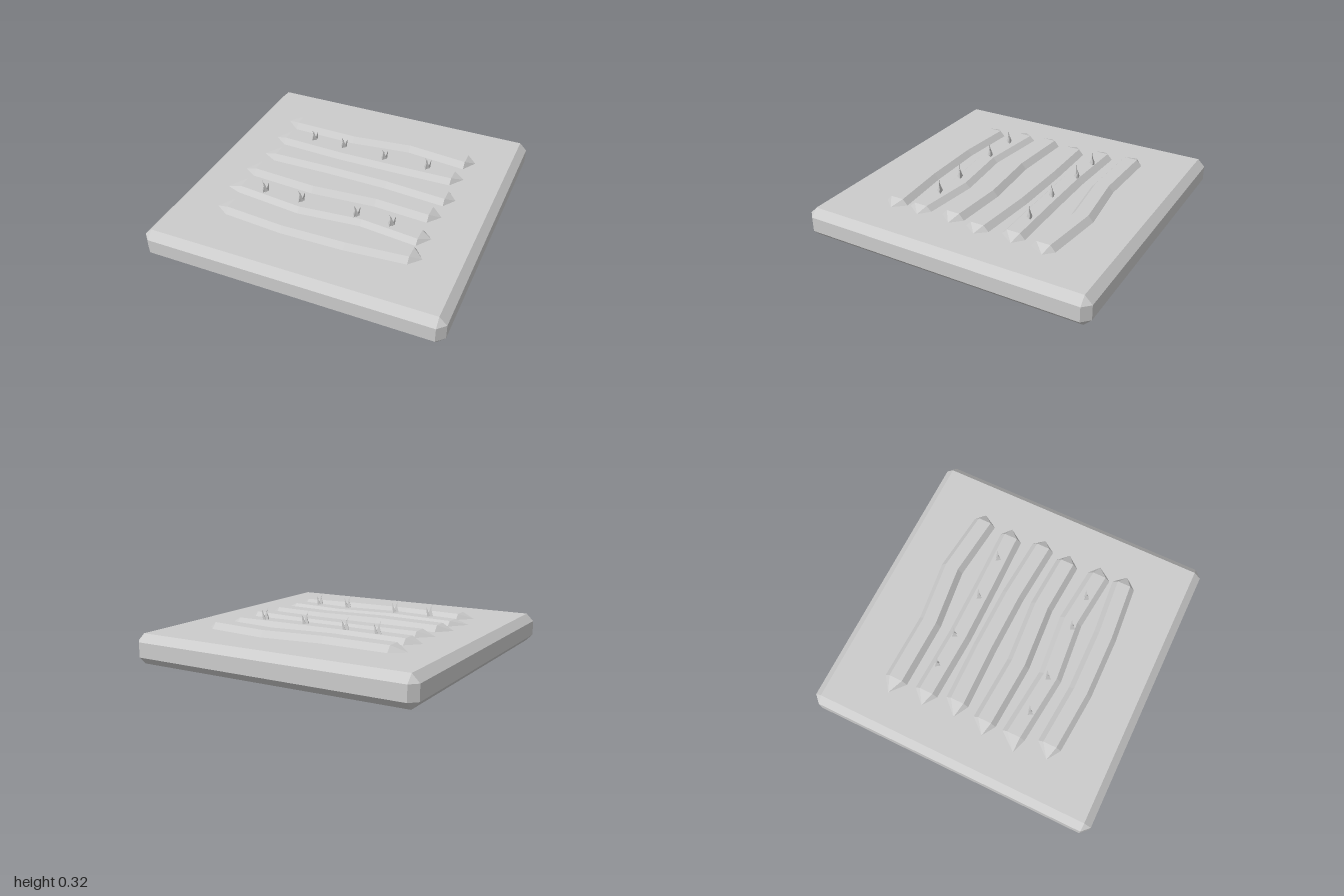
import * as THREE from 'three';
import { ConvexGeometry } from 'three/addons/geometries/ConvexGeometry.js';

const stone = new THREE.MeshStandardMaterial({ color: 0xcccccc });
stone.name = 'pale grey';

const SLAB_TOP = 0.2;

// Box with every edge and corner chamfered
function chamferedBox(w, h, d, c) {
  const points = [];
  for (const sx of [-1, 1]) for (const sy of [-1, 1]) for (const sz of [-1, 1]) {
    for (let axis = 0; axis < 3; axis++) {
      const inset = [c, c, c];
      inset[axis] = 0;
      points.push(new THREE.Vector3(
        sx * (w / 2 - inset[0]), sy * (h / 2 - inset[1]), sz * (d / 2 - inset[2])));
    }
  }
  return new ConvexGeometry(points);
}

// Trapezoid furrow bank swept through four stations, closed to a point at each end
function ridgeGeometry({ xs, zs, tips, height }) {
  const profile = [[-0.08, 0], [-0.045, height], [0.047, height], [0.08, 0]];
  const tipRing = ([x, z]) => profile.map(() => [x, SLAB_TOP, z]);
  const rings = [
    tipRing(tips[0]),
    ...xs.map((x, i) => profile.map(([dz, dy]) => [x, SLAB_TOP + dy, zs[i] + dz])),
    tipRing(tips[1]),
  ];
  const position = [];
  for (let i = 0; i < rings.length - 1; i++) {
    const a = rings[i], b = rings[i + 1];
    for (let j = 0; j < 3; j++) {
      if (i > 0) position.push(...a[j], ...a[j + 1], ...b[j + 1]);
      if (i < rings.length - 2) position.push(...a[j], ...b[j + 1], ...b[j]);
      else position.splice(position.length - 9, 9, ...a[j], ...a[j + 1], ...b[j]);
    }
  }
  const geometry = new THREE.BufferGeometry();
  geometry.setAttribute('position', new THREE.Float32BufferAttribute(position, 3));
  geometry.computeVertexNormals();
  return geometry;
}

// Three-sided spike from a base point to a tip
function spike(name, base, tip, radius) {
  const from = new THREE.Vector3(...base);
  const along = new THREE.Vector3(...tip).sub(from);
  const length = along.length();
  const geometry = new THREE.ConeGeometry(radius, length, 3).translate(0, length / 2, 0).toNonIndexed();
  geometry.computeVertexNormals();
  const mesh = new THREE.Mesh(geometry, stone);
  mesh.name = name;
  mesh.position.copy(from);
  mesh.quaternion.setFromUnitVectors(new THREE.Vector3(0, 1, 0), along.normalize());
  return mesh;
}

// Seedling: a stout shoot with two thin leaning leaves
function sprout(x, z) {
  const group = new THREE.Group();
  group.name = 'sprout';
  group.add(
    spike('shoot', [-0.006, 0, 0.004], [-0.002, 0.065, 0.002], 0.022),
    spike('tallLeaf', [0.008, 0, 0], [-0.012, 0.088, 0.012], 0.013),
    spike('sideLeaf', [0.006, 0, -0.006], [0.024, 0.068, -0.015], 0.014),
  );
  group.position.set(x, SLAB_TOP + 0.035, z);
  return group;
}

export function createModel() {
  const model = new THREE.Group();
  model.name = 'plantedField';

  const slab = new THREE.Mesh(chamferedBox(2, 0.2, 2, 0.05), stone);
  slab.name = 'slab';
  slab.position.y = 0.1;
  model.add(slab);

  // Six wavy soil ridges from back to front
  const ridges = [
    { xs: [-0.64, -0.18, 0.24, 0.66], zs: [-0.553, -0.541, -0.59, -0.544], tips: [[-0.74, -0.56], [0.72, -0.565]], height: 0.04 },
    { xs: [-0.63, -0.18, 0.24, 0.63], zs: [-0.332, -0.313, -0.316, -0.324], tips: [[-0.72, -0.32], [0.7, -0.345]], height: 0.037 },
    { xs: [-0.6, -0.19, 0.24, 0.66], zs: [-0.118, -0.125, -0.118, -0.086], tips: [[-0.7, -0.095], [0.72, -0.095]], height: 0.037 },
    { xs: [-0.64, -0.19, 0.25, 0.62], zs: [0.102, 0.129, 0.095, 0.118], tips: [[-0.73, 0.125], [0.69, 0.11]], height: 0.04 },
    { xs: [-0.64, -0.18, 0.24, 0.63], zs: [0.311, 0.359, 0.319, 0.359], tips: [[-0.74, 0.355], [0.7, 0.34]], height: 0.032 },
    { xs: [-0.6, -0.19, 0.24, 0.64], zs: [0.549, 0.581, 0.573, 0.539], tips: [[-0.69, 0.57], [0.71, 0.54]], height: 0.037 },
  ];
  for (const ridge of ridges) {
    const mesh = new THREE.Mesh(ridgeGeometry(ridge), stone);
    mesh.name = 'soilRidge';
    model.add(mesh);
  }

  // Seedlings along the second and fifth ridges
  const sprouts = [
    [-0.43, -0.35], [-0.195, -0.345], [0.125, -0.32], [0.44, -0.33],
    [-0.46, 0.345], [-0.195, 0.347], [0.195, 0.347], [0.435, 0.345],
  ];
  for (const [x, z] of sprouts) model.add(sprout(x, z));

  return model;
}
